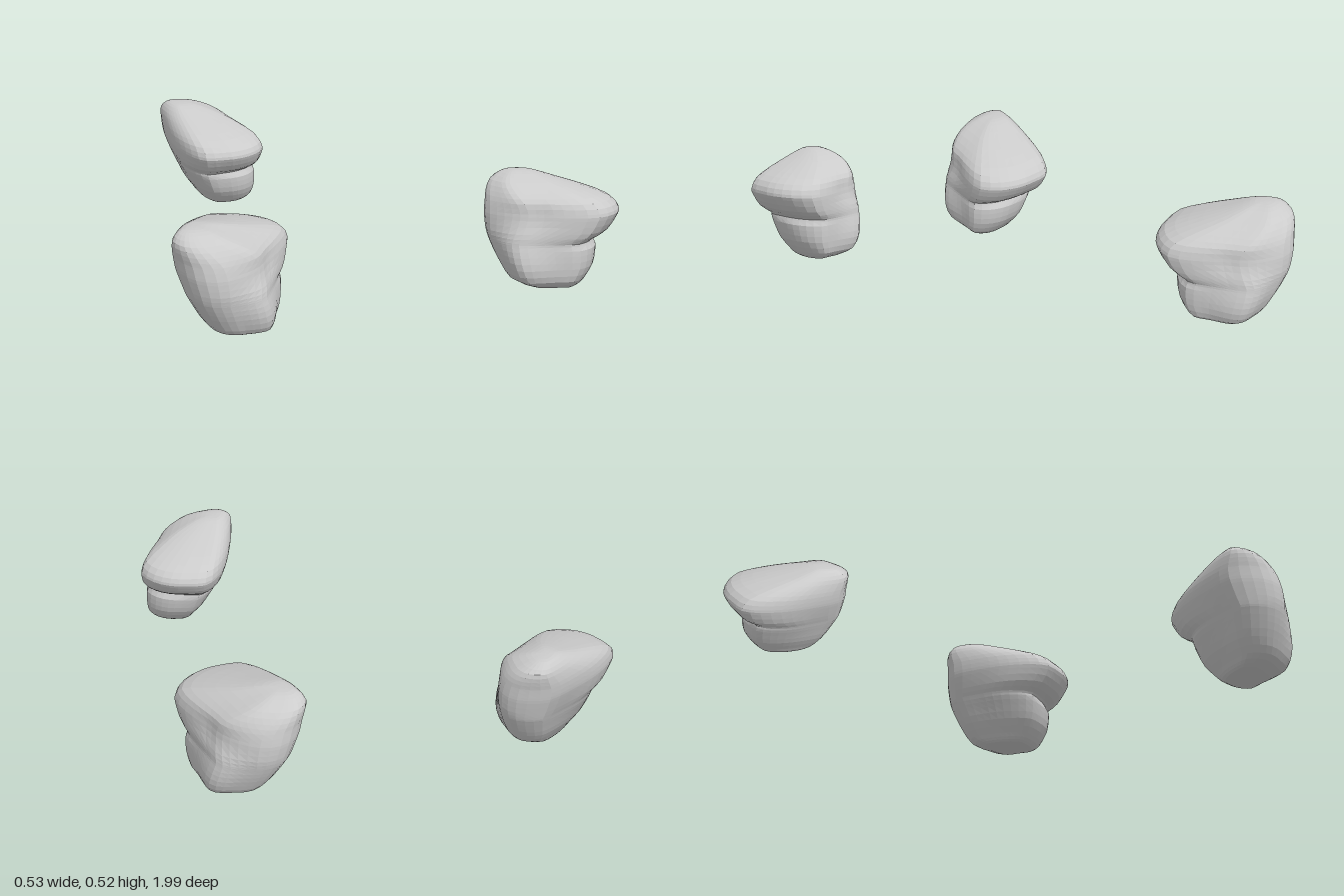
import * as THREE from 'three';

// Plan outline of one pebble (x, z), seen from above
const PLAN = [[-0.05, 0.385], [0.04, 0.388], [0.12, 0.405], [0.2, 0.455], [0.255, 0.535], [0.255, 0.6],
  [0.225, 0.7], [0.175, 0.9], [0.11, 0.96], [0, 0.985], [-0.08, 0.997], [-0.17, 0.975],
  [-0.24, 0.9], [-0.263, 0.82], [-0.22, 0.65], [-0.17, 0.53], [-0.11, 0.435]];

// Key level sections: y, x min, x max, z min, z max
const LEVELS = [
  [0.003, 0.06, 0.06, 0.72, 0.72], [0, -0.03, 0.15, 0.64, 0.8], [0.012, -0.07, 0.185, 0.605, 0.85],
  [0.04, -0.1, 0.217, 0.575, 0.91], [0.1, -0.145, 0.232, 0.53, 0.943], [0.16, -0.176, 0.234, 0.512, 0.968],
  [0.205, -0.198, 0.232, 0.504, 0.983], [0.225, -0.207, 0.236, 0.5, 0.989], [0.265, -0.223, 0.256, 0.44, 0.998],
  [0.325, -0.245, 0.27, 0.395, 1], [0.355, -0.253, 0.268, 0.387, 0.997], [0.4, -0.26, 0.24, 0.418, 0.987],
  [0.44, -0.264, 0.158, 0.51, 0.972], [0.48, -0.262, 0.05, 0.63, 0.942], [0.51, -0.238, -0.05, 0.72, 0.89],
  [0.521, -0.205, -0.11, 0.765, 0.85], [0.523, -0.155, -0.155, 0.81, 0.81]];

// Local swells and hollows: direction x, direction z, height, spread, amount
const BUMPS = [
  [0.6, -0.8, 0.213, 0.015, -0.07],   // crease under the lip
  [0.71, 0.71, 0.34, 0.12, -0.28],    // sloping outer shoulder
  [0.71, 0.71, 0.09, 0.06, 0.05],     // full outer foot
  [-0.71, -0.71, 0.23, 0.1, 0.1]];    // full inner flank

const SIDES = 36, ROWS = (LEVELS.length - 1) * 2;

const smooth = (points, closed) => new THREE.CatmullRomCurve3(points, closed, 'catmullrom');

function bumpScale(p, y) {
  return BUMPS.reduce((k, [dx, dz, height, spread, amount]) => {
    const toward = Math.max(0, (p.x * dx + p.z * dz) / p.length());
    return k + amount * toward ** 4 * Math.exp(-(((y - height) / spread) ** 2));
  }, 1);
}

function pebbleGeometry(sign) {
  const ring = smooth(PLAN.map(([x, z]) =>
    new THREE.Vector3(x / 0.263, 0, (z - 0.692) / 0.308)), true).getSpacedPoints(SIDES).slice(0, SIDES);
  // Section centres and half sizes, blended between the key levels
  const centres = smooth(LEVELS.map(([y, x0, x1, z0, z1]) => new THREE.Vector3((x0 + x1) / 2, y, (z0 + z1) / 2)));
  const sizes = smooth(LEVELS.map(([, x0, x1, z0, z1]) => new THREE.Vector3((x1 - x0) / 2, 0, (z1 - z0) / 2)));
  const pos = [], index = [];
  for (let r = 0; r <= ROWS; r++) {
    const centre = centres.getPoint(r / ROWS), size = sizes.getPoint(r / ROWS);
    ring.forEach((p, i) => {
      const k = bumpScale(p, centre.y);
      pos.push(centre.x + p.x * k * size.x, Math.max(0, centre.y), (centre.z + p.z * k * size.z) * sign);
      if (r === ROWS) return;
      const a = r * SIDES + i, b = r * SIDES + (i + 1) % SIDES, c = a + SIDES, d = b + SIDES;
      index.push(...(sign > 0 ? [a, c, b, b, c, d] : [a, b, c, b, d, c]));
    });
  }
  const geo = new THREE.BufferGeometry();
  geo.setAttribute('position', new THREE.Float32BufferAttribute(pos, 3));
  geo.setIndex(index);
  geo.computeVertexNormals();
  return geo;
}

export function createModel() {
  const group = new THREE.Group();
  const material = new THREE.MeshStandardMaterial({ color: 0xcccccc, flatShading: true });
  // Mirrored pair, front and back
  for (const [name, sign] of [['frontPebble', 1], ['backPebble', -1]]) {
    const mesh = new THREE.Mesh(pebbleGeometry(sign), material);
    mesh.name = name;
    group.add(mesh);
  }
  return group;
}
